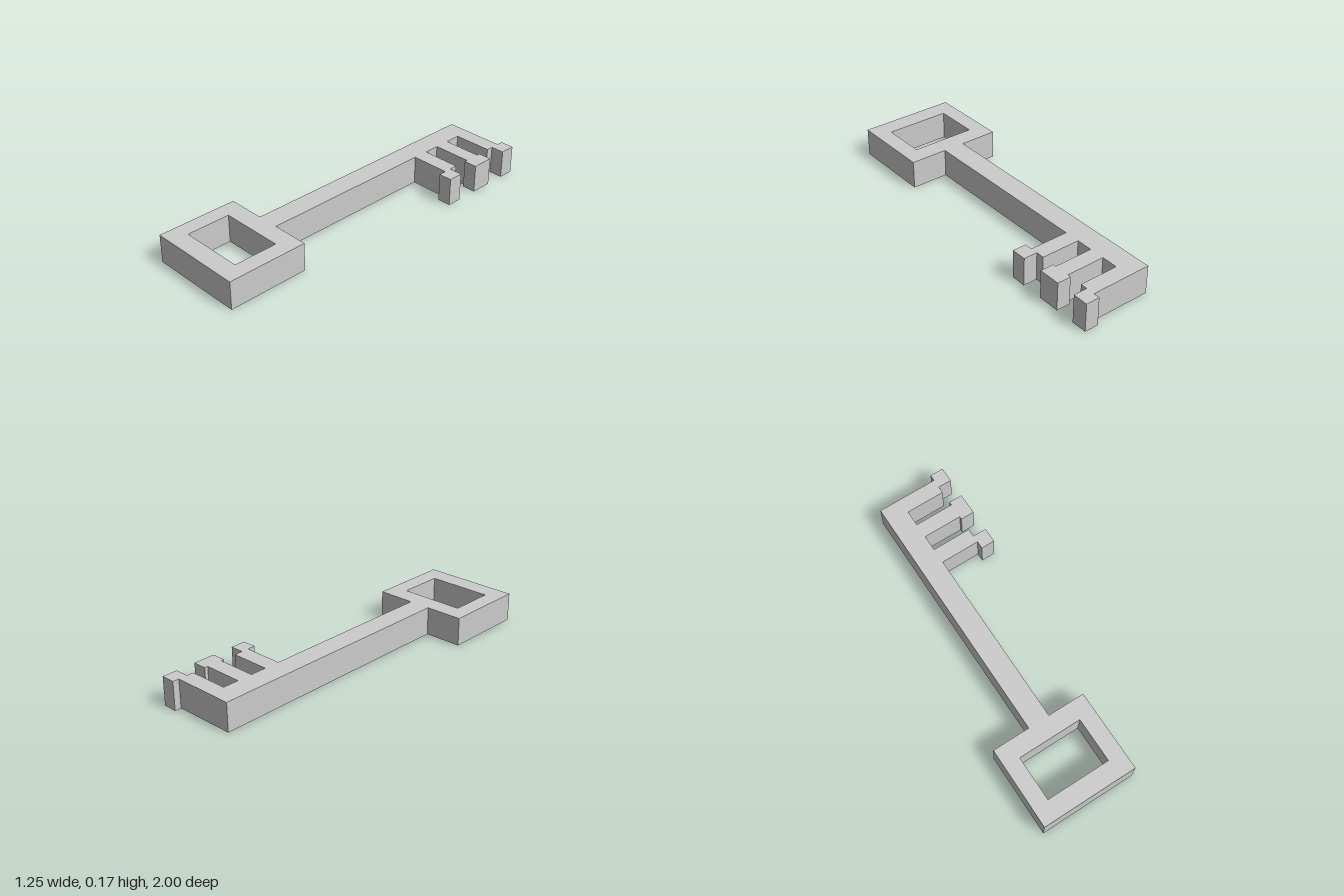
import * as THREE from 'three';

const HEIGHT = 0.165;
const TURN = -0.3163; // the key lies at an angle to the axes

// Shaft sides, bow frame and its opening, in the key's own frame (tip towards +y)
const SHAFT = { left: -0.123, right: 0.004, tip: 1.013 };
const BOW = { left: -0.344, right: 0.222, bottom: -0.976, top: -0.498 };
const HOLE = { left: -0.25, right: 0.127, bottom: -0.867, top: -0.606 };

// Teeth: stem from y0 to y1, end block from e0 to e1
const TEETH = [
  { y0: 0.553, y1: 0.644, e0: 0.507, e1: 0.595 },
  { y0: 0.738, y1: 0.827, e0: 0.72, e1: 0.847 },
  { y0: 0.921, y1: SHAFT.tip, e0: 0.961, e1: 1.05 },
];
const STEM_END = 0.232;
const TOOTH_END = 0.312;

const toPoints = (pairs) => pairs.map(([x, y]) => new THREE.Vector2(x, y));

// Counter-clockwise outline of the whole key
function keyOutline() {
  const pairs = [
    [SHAFT.left, BOW.top],
    [BOW.left, BOW.top],
    [BOW.left, BOW.bottom],
    [BOW.right, BOW.bottom],
    [BOW.right, BOW.top],
    [SHAFT.right, BOW.top],
  ];
  for (const { y0, y1, e0, e1 } of TEETH) {
    pairs.push(
      [SHAFT.right, y0], [STEM_END, y0],
      [STEM_END, e0], [TOOTH_END, e0], [TOOTH_END, e1], [STEM_END, e1],
      [STEM_END, y1],
    );
    if (y1 < SHAFT.tip) pairs.push([SHAFT.right, y1]);
  }
  pairs.push([SHAFT.left, SHAFT.tip]);
  return new THREE.Shape(toPoints(pairs));
}

export function createModel() {
  const group = new THREE.Group();
  group.name = 'key';

  const shape = keyOutline();
  shape.holes.push(new THREE.Path(toPoints([
    [HOLE.left, HOLE.bottom],
    [HOLE.left, HOLE.top],
    [HOLE.right, HOLE.top],
    [HOLE.right, HOLE.bottom],
  ])));

  // Lay the extruded outline flat, then turn it
  const geometry = new THREE.ExtrudeGeometry(shape, { depth: HEIGHT, bevelEnabled: false });
  geometry.rotateX(-Math.PI / 2);
  geometry.rotateY(TURN);

  const material = new THREE.MeshStandardMaterial({ color: 0xcccccc, flatShading: true });
  const body = new THREE.Mesh(geometry, material);
  body.name = 'keyBody';
  group.add(body);
  return group;
}
